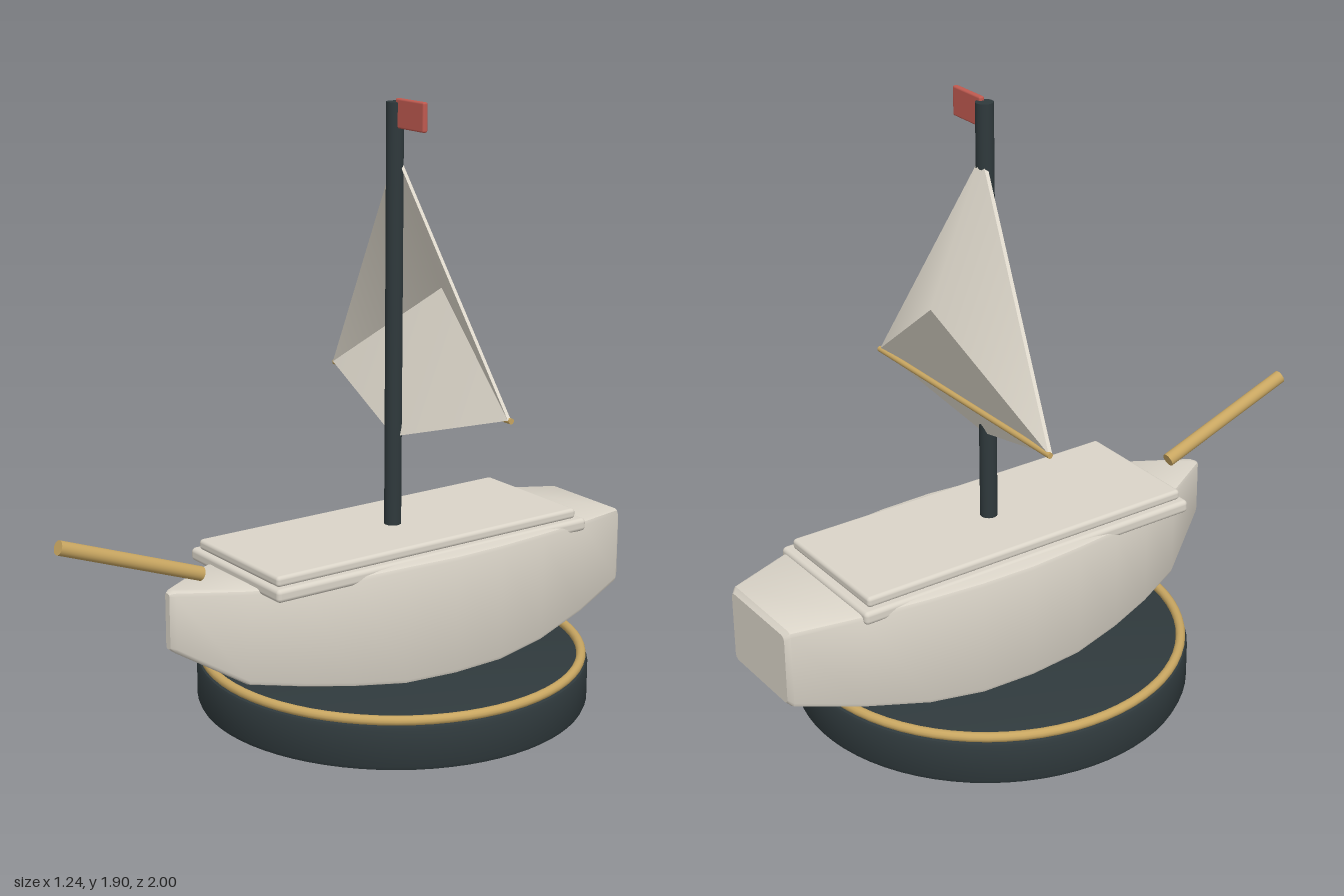
import * as THREE from 'three';
import { toCreasedNormals, mergeGeometries } from 'three/addons/utils/BufferGeometryUtils.js';
import { RoundedBoxGeometry } from 'three/addons/geometries/RoundedBoxGeometry.js';

const MAST_Z = -0.185;

function material(name, color, side = THREE.FrontSide) {
  const m = new THREE.MeshStandardMaterial({ color, side });
  m.name = name;
  return m;
}

function geometryFrom(points, index) {
  const g = new THREE.BufferGeometry();
  g.setAttribute('position', new THREE.Float32BufferAttribute(points.flat(), 3));
  g.setIndex(index);
  return g;
}

// Hull lofted from box-like sections: half-width, bottom and top along z
function hullGeometry() {
  const stations = [ // z, half-width, bottom, top
    [0.64, 0.012, 0.33, 0.505], [0.625, 0.026, 0.318, 0.512], [0.44, 0.135, 0.21, 0.512],
    [0.28, 0.2, 0.188, 0.513], [0.13, 0.243, 0.168, 0.52], [-0.04, 0.275, 0.148, 0.53],
    [-0.22, 0.29, 0.145, 0.531], [-0.4, 0.286, 0.147, 0.531], [-0.58, 0.268, 0.168, 0.53],
    [-0.78, 0.23, 0.21, 0.522], [-0.985, 0.168, 0.256, 0.508], [-1, 0.155, 0.268, 0.495],
  ];
  const points = [], index = [];
  for (const [z, w, b, t] of stations) {
    const r = Math.min(0.015, w * 0.6);
    const half = [[w - r, b], [w - r * 0.3, b + r * 0.3], [w, b + r], [w, t - r], [w - r * 0.3, t - r * 0.3], [w - r, t]];
    for (const [x, y] of half) points.push([x, y, z]);
    for (const [x, y] of [...half].reverse()) points.push([-x, y, z]);
  }
  const n = 12, last = (stations.length - 1) * n;
  for (let s = 0; s < stations.length - 1; s++) {
    for (let i = 0; i < n; i++) {
      const a = s * n + i, b = s * n + (i + 1) % n;
      index.push(a, a + n, b, b, a + n, b + n);
    }
  }
  for (let i = 1; i < n - 1; i++) {
    index.push(0, i, i + 1, last, last + i + 1, last + i);
  }
  return toCreasedNormals(geometryFrom(points, index), 0.6);
}

// Folded sail: two smooth panels meeting in a sharp crease, with a thin rim
function sailGeometry() {
  const top = [0, 1.735, -0.192], foot = [0, 0.85, -0.192], belly = [0, 1.3, -0.375];
  const left = [0.45, 0.988, -0.278], right = [-0.45, 0.988, -0.278];
  const h = 0.006;
  const shift = (p, d) => [p[0], p[1], p[2] + d];
  const parts = [];
  const panel = (points, index) => {
    const g = geometryFrom(points, index);
    g.computeVertexNormals();
    parts.push(g);
  };
  for (const d of [h, -h]) {
    const faces = d > 0 ? [0, 1, 2, 0, 2, 3] : [0, 2, 1, 0, 3, 2];
    panel([top, right, belly, left].map(p => shift(p, d)), faces);
    panel([foot, left, belly, right].map(p => shift(p, d)), faces);
  }
  const rim = [top, right, foot, left];
  rim.forEach((p, i) => {
    const q = rim[(i + 1) % 4];
    panel([shift(p, h), shift(p, -h), shift(q, -h), shift(q, h)], [0, 1, 2, 0, 2, 3]);
  });
  return mergeGeometries(parts);
}

// Round bar between two points
function rod(a, b, radius) {
  const from = new THREE.Vector3(...a), dir = new THREE.Vector3(...b).sub(from);
  const g = new THREE.CylinderGeometry(radius, radius, dir.length(), 24);
  g.applyQuaternion(new THREE.Quaternion().setFromUnitVectors(new THREE.Vector3(0, 1, 0), dir.clone().normalize()));
  return g.translate(...from.addScaledVector(dir, 0.5).toArray());
}

export function createModel() {
  const model = new THREE.Group();
  model.name = 'sailboatOnStand';
  const ivory = material('ivory', 0xdad4c8);
  const sailCloth = material('sailCloth', 0xe2dccf, THREE.DoubleSide);
  const slate = material('slate', 0x2f393c);
  const brass = material('brass', 0xc8a661);
  const red = material('red', 0xc05a50);

  const add = (name, geometry, mat, x = 0, y = 0, z = 0) => {
    const mesh = new THREE.Mesh(geometry, mat);
    mesh.name = name;
    mesh.position.set(x, y, z);
    model.add(mesh);
    return mesh;
  };

  // Round stand with softened rims and a brass ring
  const profile = [[0, 0], [0.605, 0], [0.617, 0.005], [0.622, 0.017], [0.622, 0.128], [0.617, 0.14], [0.605, 0.145], [0, 0.145]]
    .map(([x, y]) => new THREE.Vector2(x, y));
  add('stand', toCreasedNormals(new THREE.LatheGeometry(profile, 72), 0.6), slate, 0, 0, MAST_Z);
  add('standRing', new THREE.TorusGeometry(0.601, 0.015, 12, 72).rotateX(Math.PI / 2), brass, 0, 0.155, MAST_Z);

  // Hull and stepped deck
  add('hull', hullGeometry(), ivory);
  add('lowerDeck', new RoundedBoxGeometry(0.49, 0.042, 1.19, 3, 0.014), ivory, 0, 0.515, MAST_Z);
  add('upperDeck', new RoundedBoxGeometry(0.44, 0.034, 1.15, 3, 0.012), ivory, 0, 0.55, -0.18);

  // Rigging
  add('mast', rod([0, 0.53, MAST_Z], [0, 1.89, MAST_Z], 0.027), slate);
  add('sail', sailGeometry(), sailCloth);
  add('boom', rod([-0.455, 0.985, -0.282], [0.455, 0.985, -0.282], 0.009), brass);
  add('bowsprit', rod([0, 0.543, 0.522], [0, 0.716, 0.993], 0.022), brass);
  add('flag', new RoundedBoxGeometry(0.14, 0.09, 0.018, 2, 0.006), red, 0.081, 1.857, MAST_Z);

  return model;
}
